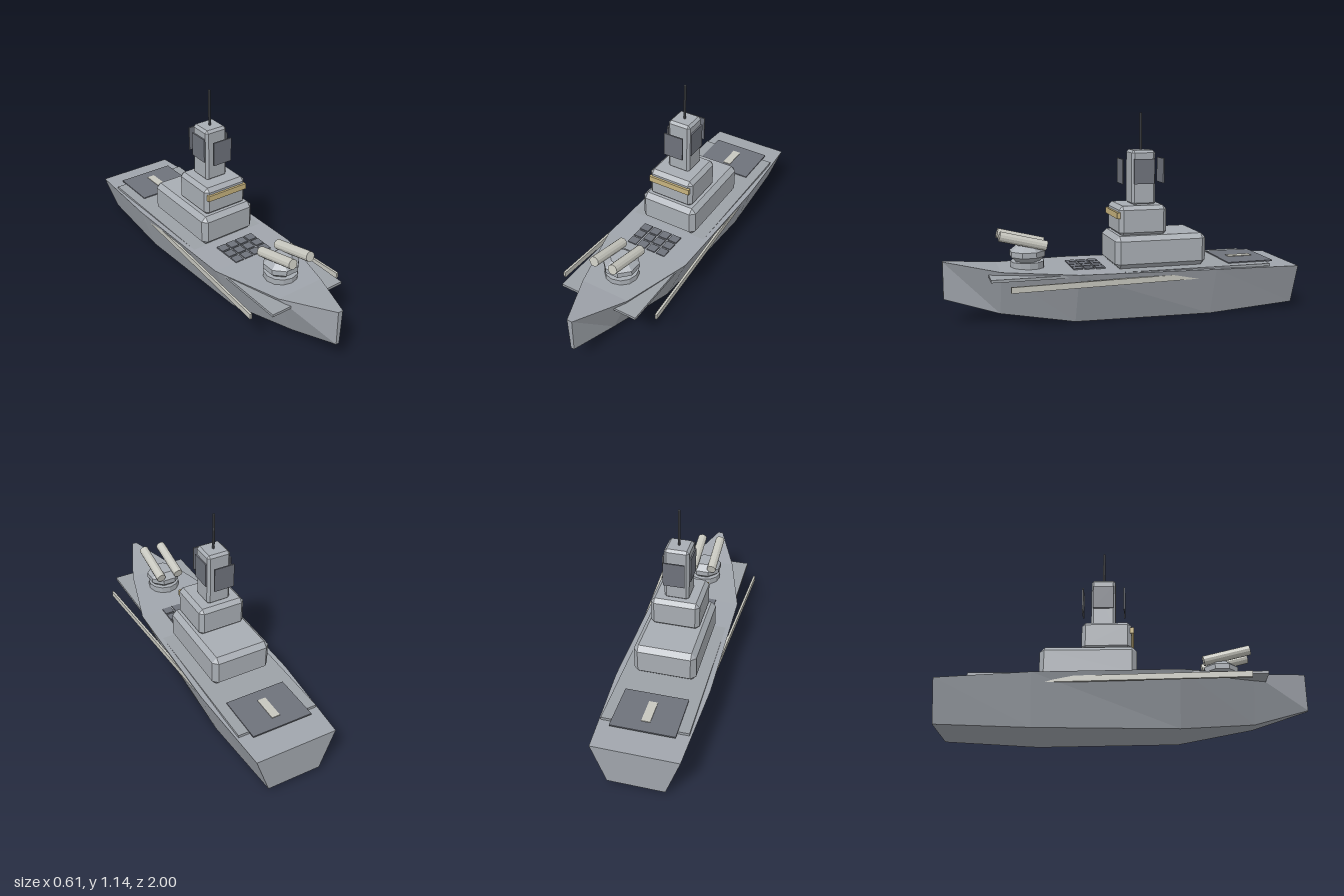
import * as THREE from 'three';
import { ConvexGeometry } from 'three/addons/geometries/ConvexGeometry.js';

const paint = (name, color) => {
  const m = new THREE.MeshStandardMaterial({ color });
  m.name = name;
  m.flatShading = true;
  return m;
};

export function createModel() {
  const ship = new THREE.Group();
  ship.name = 'warship';
  const hullGrey = paint('hull grey', 0xa0a5ac);
  const deckGrey = paint('deck grey', 0x9ca1a7);
  const houseGrey = paint('superstructure grey', 0xa8adb3);
  const darkGrey = paint('dark panel grey', 0x6e727b);
  const mastGrey = paint('mast grey', 0x5a5d63);
  const paleGrey = paint('pale trim', 0xc6c6be);
  const amber = paint('amber glass', 0xc7b37e);

  const add = (name, geometry, material, x = 0, y = 0, z = 0) => {
    const mesh = new THREE.Mesh(geometry, material);
    mesh.name = name;
    mesh.position.set(x, y, z);
    ship.add(mesh);
    return mesh;
  };
  const box = (name, material, w, h, d, x, y, z) =>
    add(name, new THREE.BoxGeometry(w, h, d), material, x, y, z);

  // Box with every edge cut off at 45 degrees
  const chamferBox = (name, material, w, h, d, c, x, y, z) => {
    const pts = [];
    for (const sx of [-1, 1]) for (const sy of [-1, 1]) for (const sz of [-1, 1]) {
      const [a, b, e] = [w / 2, h / 2, d / 2];
      pts.push(new THREE.Vector3(sx * a, sy * (b - c), sz * (e - c)));
      pts.push(new THREE.Vector3(sx * (a - c), sy * b, sz * (e - c)));
      pts.push(new THREE.Vector3(sx * (a - c), sy * (b - c), sz * e));
    }
    return add(name, new ConvexGeometry(pts), material, x, y, z);
  };

  // Hull cross-sections, bow to stern: z, deck half-width, deck y, keel half-width, keel y
  const rings = [
    [1, 0.015, 0.35, 0.01, 0.142],
    [0.7, 0.145, 0.302, 0.046, 0.05],
    [0.3, 0.258, 0.288, 0.14, 0],
    [-0.48, 0.266, 0.275, 0.175, 0],
    [-1, 0.235, 0.26, 0.155, 0.028],
  ].map(([z, t, ty, b, by]) => [[-t, ty, z], [t, ty, z], [b, by, z], [-b, by, z]]);
  const verts = [];
  const quad = (a, b, c, d) => verts.push(...a, ...b, ...c, ...a, ...c, ...d);
  for (let i = 0; i < rings.length - 1; i++) {
    for (let j = 0; j < 4; j++) {
      const k = (j + 1) % 4;
      quad(rings[i][j], rings[i][k], rings[i + 1][k], rings[i + 1][j]);
    }
  }
  quad(...[...rings[0]].reverse());
  quad(...rings[rings.length - 1]);
  const hull = new THREE.BufferGeometry();
  hull.setAttribute('position', new THREE.Float32BufferAttribute(verts, 3));
  hull.computeVertexNormals();
  add('hull', hull, hullGrey);

  // Deck plate, landing pad and its marking
  box('deckPlate', deckGrey, 0.47, 0.015, 1.585, 0, 0.2765, -0.0275);
  box('landingPad', darkGrey, 0.35, 0.008, 0.275, 0, 0.286, -0.7275);
  box('padMarking', paleGrey, 0.048, 0.005, 0.145, 0, 0.2915, -0.7275);

  // Grid of launch hatches on the foredeck
  for (let r = 0; r < 3; r++) for (let c = 0; c < 4; c++)
    box('hatch', darkGrey, 0.053, 0.012, 0.053, (c - 1.5) * 0.0635, 0.288, 0.15 + r * 0.064);

  // Side strakes, splayed outwards towards the bow
  for (const s of [-1, 1]) {
    const strake = box('sideStrake', paleGrey, 0.013, 0.032, 1.34, s * 0.262, 0.24, 0);
    strake.rotation.y = s * 0.055;
  }

  // Stacked superstructure
  chamferBox('deckHouse', houseGrey, 0.348, 0.182, 0.53, 0.027, 0, 0.375, -0.19);
  chamferBox('bridge', houseGrey, 0.276, 0.17, 0.276, 0.022, 0, 0.545, -0.093);
  box('bridgeWindow', amber, 0.258, 0.034, 0.02, 0, 0.578, 0.048);
  chamferBox('tower', houseGrey, 0.138, 0.31, 0.138, 0.014, 0, 0.778, -0.115);
  add('mast', new THREE.CylinderGeometry(0.007, 0.007, 0.215, 8), mastGrey, 0, 1.034, -0.115);

  // Sensor panels on all four sides of the tower
  for (const s of [-1, 1]) {
    box('sensorPanel', darkGrey, 0.118, 0.14, 0.008, 0, 0.815, -0.115 + s * 0.12);
    box('sidePanel', darkGrey, 0.008, 0.14, 0.118, s * 0.075, 0.815, -0.115);
  }

  // Twin gun turret
  add('turretBase', new THREE.CylinderGeometry(0.094, 0.094, 0.05, 12), houseGrey, 0, 0.306, 0.54);
  const profile = [[0, 0.33], [0.068, 0.33], [0.1, 0.358], [0.1, 0.388], [0.06, 0.42], [0, 0.42]]
    .map(([x, y]) => new THREE.Vector2(x, y));
  add('turretHousing', new THREE.LatheGeometry(profile, 8, Math.PI / 8), houseGrey, 0, 0, 0.54);
  for (const s of [-1, 1]) {
    const barrel = add('gunBarrel', new THREE.CylinderGeometry(0.028, 0.028, 0.265, 12),
      paleGrey, s * 0.058, 0.45, 0.57);
    barrel.rotation.x = Math.PI / 2 - 0.245;
  }
  return ship;
}
